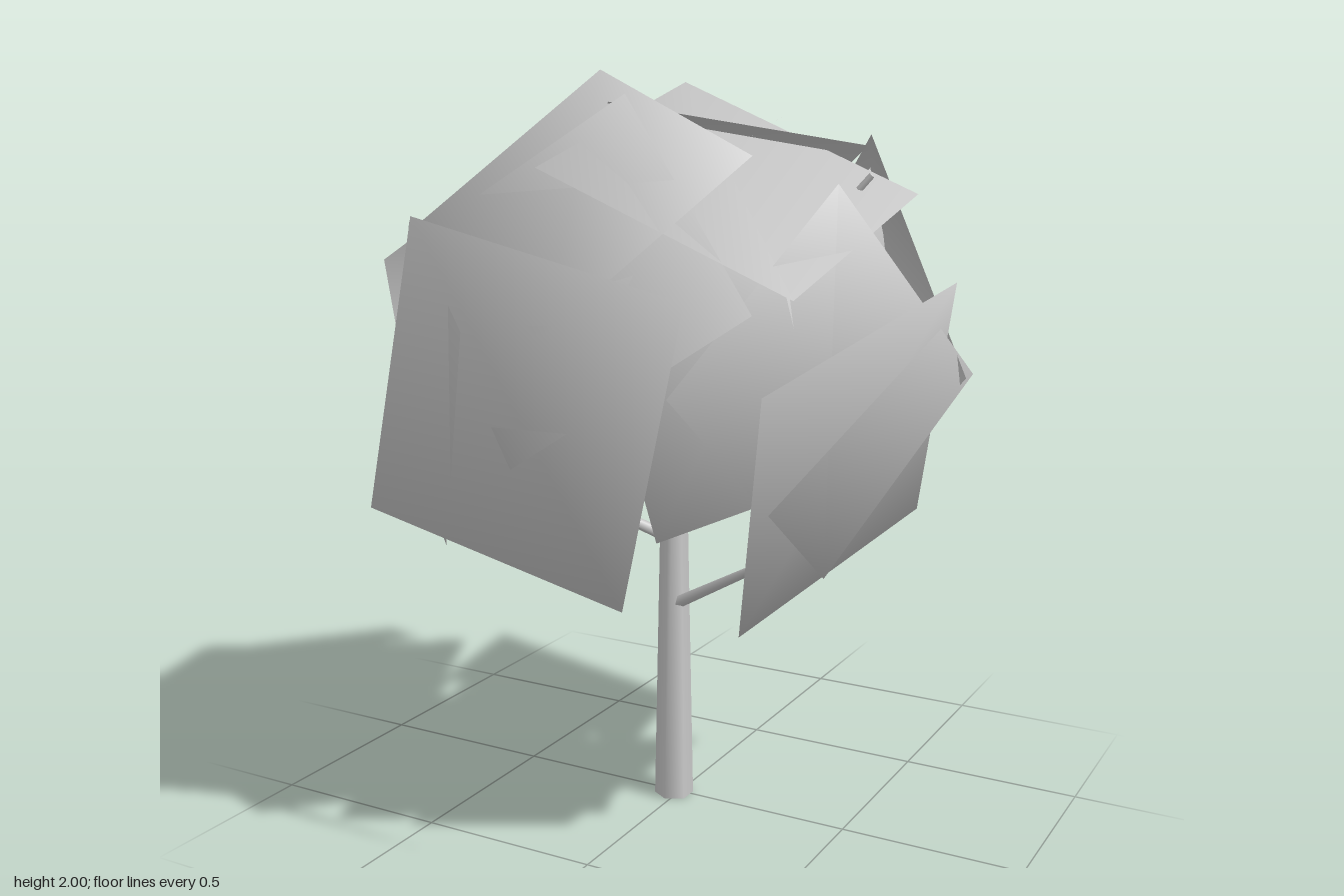
import * as THREE from 'three';

const CROWN = new THREE.Vector3(0, 1.3, 0);
const v = (p) => new THREE.Vector3(...p);

// Flat leaf card from one corner and its two neighbours, shaded as part of a ball
function leafCard(corner, sideA, sideB, material) {
  const a = v(corner);
  let b = v(sideA);
  let d = v(sideB);
  const c = b.clone().add(d).sub(a);
  const middle = b.clone().add(d).multiplyScalar(0.5);
  const facing = b.clone().sub(a).cross(d.clone().sub(a));
  if (facing.dot(middle.sub(CROWN)) < 0) [b, d] = [d, b];
  const corners = [a, b, c, d];
  const geometry = new THREE.BufferGeometry().setFromPoints(corners);
  const normals = corners.flatMap((p) => p.clone().sub(CROWN).normalize().toArray());
  geometry.setAttribute('normal', new THREE.Float32BufferAttribute(normals, 3));
  geometry.setIndex([0, 1, 2, 0, 2, 3]);
  const mesh = new THREE.Mesh(geometry, material);
  mesh.name = 'leafCard';
  return mesh;
}

// Tapered limb between two points
function limb(name, from, to, r0, r1, sides, material) {
  const start = v(from);
  const dir = v(to).sub(start);
  const geometry = new THREE.CylinderGeometry(r1, r0, dir.length(), sides);
  geometry.translate(0, dir.length() / 2, 0);
  const mesh = new THREE.Mesh(geometry, material);
  mesh.quaternion.setFromUnitVectors(new THREE.Vector3(0, 1, 0), dir.normalize());
  mesh.position.copy(start);
  mesh.name = name;
  return mesh;
}

export function createModel() {
  const bark = new THREE.MeshStandardMaterial({ color: 0xcccccc });
  bark.name = 'bark';
  const leaves = new THREE.MeshStandardMaterial({ color: 0xcccccc, side: THREE.DoubleSide });
  leaves.name = 'leaves';

  const tree = new THREE.Group();
  tree.name = 'tree';

  // Trunk and branches
  tree.add(limb('trunk', [-0.013, 0, 0.012], [-0.015, 1.5, 0.005], 0.054, 0.024, 6, bark));
  const branches = [
    [[0.0, 0.57, 0.02], [0.46, 0.84, 0.2]],
    [[-0.03, 0.75, 0.01], [-0.38, 0.92, 0.16]],
    [[-0.01, 0.93, -0.01], [0.28, 1.08, -0.43]],
    [[-0.01, 1.06, 0.01], [0.04, 1.15, 0.32]],
    [[-0.01, 1.15, 0], [0.5, 1.74, -0.09]],
    [[-0.02, 1.22, 0], [-0.42, 1.42, 0.14]],
    [[-0.01, 1.25, -0.01], [0.22, 1.6, -0.47]],
  ];
  for (const [from, to] of branches) tree.add(limb('branch', from, to, 0.018, 0.009, 5, bark));

  // Crown of leaf cards: a corner followed by its two neighbours
  const crown = new THREE.Group();
  crown.name = 'crown';
  const cards = [
    // front
    [[-0.34, 1.66, 0.695], [0.385, 1.5, 0.69], [-0.51, 0.93, 0.68]],
    [[-0.57, 1.62, 0.41], [-0.73, 1.06, 0.28], [-0.15, 1.41, 0.77]],
    [[0, 1.94, 0.28], [0.475, 1.46, 0.54], [-0.525, 1.57, 0.47]],
    [[0.225, 0.9, 0.53], [0.62, 1.05, 0.05], [0.075, 1.5, 0.59]],
    // left side
    [[0.735, 1.485, -0.08], [0.53, 1.29, 0.6], [0.565, 0.83, -0.32]],
    [[0.54, 1.735, 0.22], [0.33, 1.28, 0.67], [0.75, 1.24, -0.19]],
    [[0.42, 1.75, -0.275], [0.46, 1.23, -0.485], [0.48, 1.5, 0.38]],
    // back
    [[0.36, 0.855, -0.58], [0.01, 1.45, -0.775], [0.755, 1.24, -0.12]],
    [[0.09, 1.5, -0.61], [0.36, 1.6, -0.3], [0.18, 1.02, -0.5]],
    // right side
    [[-0.755, 0.98, 0.18], [-0.71, 1.22, -0.385], [-0.64, 1.52, 0.43]],
    [[-0.36, 0.78, -0.1], [-0.5, 1.25, -0.42], [-0.42, 1.02, 0.24]],
    // top
    [[-0.71, 1.59, -0.11], [-0.245, 1.97, -0.065], [-0.47, 1.36, -0.635]],
    [[-0.17, 2.0, 0.115], [0.375, 1.8, 0.34], [-0.51, 1.6, 0.49]],
    [[-0.065, 1.97, -0.15], [0.585, 1.69, -0.195], [-0.105, 1.77, 0.52]],
    [[0, 1.54, -0.65], [0.45, 1.81, -0.18], [-0.54, 1.65, -0.26]],
    [[-0.535, 1.33, 0.32], [-0.475, 1.53, -0.33], [0.145, 1.68, 0.465]],
  ];
  for (const [corner, a, b] of cards) crown.add(leafCard(corner, a, b, leaves));
  tree.add(crown);
  return tree;
}
